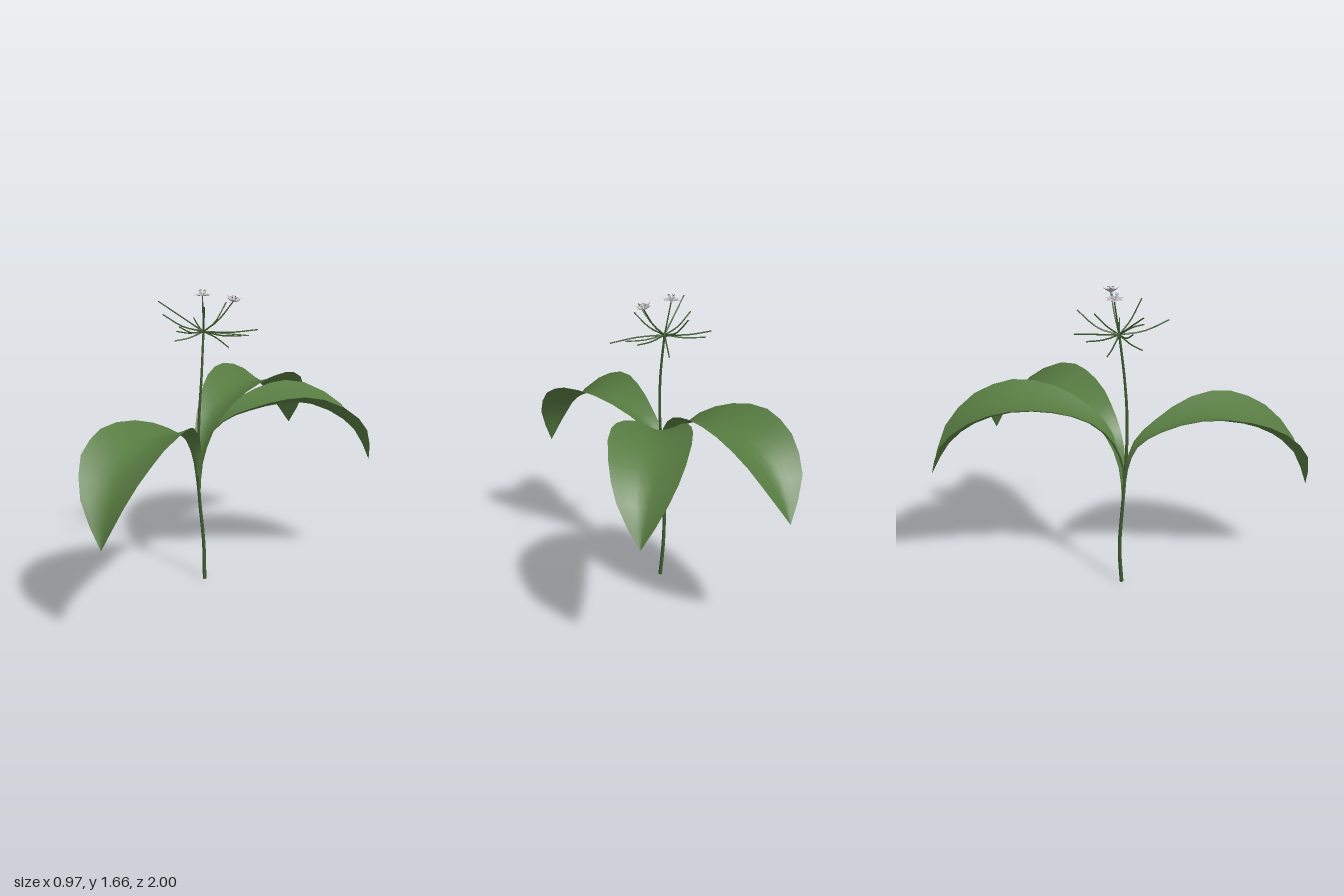
import * as THREE from 'three';

const material = (name, color, side = THREE.FrontSide) =>
  Object.assign(new THREE.MeshStandardMaterial({ color, side }), { name });

const V = (p) => new THREE.Vector3(...p);
const spline = (pts) => new THREE.CatmullRomCurve3(pts.map(V));

// Tapering round stalk along a curve
function stalk(name, pts, r0, r1, mat, segs, sides) {
  const curve = spline(pts);
  const geo = new THREE.TubeGeometry(curve, segs, 1, sides);
  const pos = geo.attributes.position;
  const v = new THREE.Vector3();
  for (let i = 0; i <= segs; i++) {
    const c = curve.getPointAt(i / segs);
    const r = THREE.MathUtils.lerp(r0, r1, i / segs);
    for (let j = 0; j <= sides; j++) {
      const k = i * (sides + 1) + j;
      v.fromBufferAttribute(pos, k).sub(c).multiplyScalar(r).add(c);
      pos.setXYZ(k, v.x, v.y, v.z);
    }
  }
  const mesh = new THREE.Mesh(geo, mat);
  mesh.name = name;
  return mesh;
}

// Cupped blade: rows are [x, y, z, halfWidth] along the midrib
function blade(name, rows, cup, mat, segs = 16, across = 8) {
  const mid = spline(rows.map((r) => r.slice(0, 3)));
  const width = spline(rows.map((r) => [r[3], 0, 0]));
  const d = V(rows[rows.length - 1]).sub(V(rows[0]));
  const side = new THREE.Vector3(-d.z, 0, d.x).normalize();
  const verts = [];
  const index = [];
  for (let i = 0; i <= segs; i++) {
    const t = i / segs;
    const c = mid.getPoint(t);
    const w = Math.max(0.0005, width.getPoint(t).x);
    const up = new THREE.Vector3().crossVectors(side, mid.getTangent(t)).normalize();
    for (let j = 0; j <= across; j++) {
      const u = (j / across) * 2 - 1;
      const p = c.clone().addScaledVector(side, u * w)
        .addScaledVector(up, cup * w * Math.abs(u) ** 1.5);
      verts.push(p.x, p.y, p.z);
      if (i < segs && j < across) {
        const a = i * (across + 1) + j;
        const b = a + across + 1;
        index.push(a, a + 1, b, a + 1, b + 1, b);
      }
    }
  }
  const geo = new THREE.BufferGeometry();
  geo.setAttribute('position', new THREE.Float32BufferAttribute(verts, 3));
  geo.setIndex(index);
  geo.computeVertexNormals();
  const mesh = new THREE.Mesh(geo, mat);
  mesh.name = name;
  return mesh;
}

// Six-petalled flower with stamens; lift raises the petal tips
function flower(name, lift, petalMat, stamenMat) {
  const g = new THREE.Group();
  g.name = name;
  for (let i = 0; i < 6; i++) {
    const arm = new THREE.Group();
    arm.name = 'petalAndStamen';
    arm.rotation.y = (i * Math.PI) / 3;
    arm.add(blade('petal', [
      [0.003, 0, 0, 0.003], [0.02, lift * 0.25, 0, 0.009],
      [0.036, lift * 0.6, 0, 0.009], [0.052, lift, 0, 0],
    ], 0.3, petalMat, 6, 2));
    arm.add(stalk('stamen', [[0.002, 0, 0], [0.012, 0.014, 0.006], [0.016, 0.03, 0.008]],
      0.0015, 0.0015, petalMat, 3, 4));
    const anther = new THREE.Mesh(new THREE.SphereGeometry(0.003, 6, 4), stamenMat);
    anther.name = 'anther';
    anther.position.set(0.016, 0.031, 0.008);
    arm.add(anther);
    g.add(arm);
  }
  return g;
}

export function createModel() {
  const leafMat = material('leafGreen', 0x567a40, THREE.DoubleSide);
  const stemMat = material('stemGreen', 0x3f5c30);
  const petalMat = material('petalGrey', 0xb8b4b8, THREE.DoubleSide);
  const antherMat = material('antherGrey', 0x6a666c);

  const model = new THREE.Group();
  model.name = 'floweringPlant';

  // Main stem
  model.add(stalk('stem', [
    [-0.22, 0, -0.004], [-0.232, 0.22, -0.015], [-0.247, 0.5, 0.002], [-0.24, 0.72, 0.018],
    [-0.225, 0.98, 0.025], [-0.216, 1.2, 0.012], [-0.22, 1.44, -0.015],
  ], 0.0105, 0.006, stemMat, 24, 8));

  // Three arching leaves sheathing the stem
  model.add(blade('frontLeaf', [
    [-0.246, 0.5, 0.008, 0.008], [-0.242, 0.7, 0.03, 0.024], [-0.235, 0.83, 0.08, 0.045],
    [-0.218, 0.91, 0.2, 0.085], [-0.19, 0.965, 0.4, 0.165], [-0.178, 0.95, 0.6, 0.22],
    [-0.165, 0.88, 0.77, 0.205], [-0.135, 0.74, 0.92, 0.125], [-0.11, 0.54, 1, 0],
  ], 0.36, leafMat));
  model.add(blade('backLeaf', [
    [-0.246, 0.52, 0, 0.008], [-0.245, 0.7, 0, 0.03], [-0.243, 0.86, -0.06, 0.06],
    [-0.245, 0.98, -0.18, 0.11], [-0.25, 1.045, -0.36, 0.18], [-0.255, 1.055, -0.56, 0.22],
    [-0.26, 1, -0.74, 0.2], [-0.265, 0.88, -0.89, 0.135], [-0.27, 0.7, -0.995, 0],
  ], 0.36, leafMat));
  model.add(blade('sideLeaf', [
    [-0.245, 0.52, 0, 0.008], [-0.238, 0.7, -0.005, 0.025], [-0.205, 0.85, -0.045, 0.05],
    [-0.14, 0.94, -0.11, 0.085], [-0.04, 0.99, -0.2, 0.14], [0.07, 1.02, -0.32, 0.19],
    [0.17, 1.015, -0.43, 0.21], [0.3, 0.93, -0.575, 0.18], [0.385, 0.82, -0.66, 0.115],
    [0.44, 0.65, -0.72, 0],
  ], 0.36, leafMat));

  // Umbel: thin curved rays from the top of the stem
  const hub = [-0.22, 1.44, -0.015];
  const rays = [
    [-0.435, 1.6, 0.1, 0], [-0.445, 1.52, 0.05, -0.02], [-0.45, 1.405, -0.08, -0.01],
    [-0.405, 1.47, -0.18, -0.01], [-0.215, 1.57, -0.225, -0.03], [-0.08, 1.395, -0.245, 0],
    [0.04, 1.405, 0.12, 0.01], [0.05, 1.46, -0.14, -0.01], [0.03, 1.445, -0.01, -0.01],
    [-0.13, 1.6, 0.1, -0.02], [-0.33, 1.395, 0.1, -0.01], [-0.2, 1.51, 0.235, -0.02],
    [-0.242, 1.625, -0.04, 0], [-0.055, 1.61, -0.055, -0.02],
  ];
  for (const [x, y, z, sag] of rays) {
    const middle = [(x + hub[0]) / 2, (y + hub[1]) / 2 + sag, (z + hub[2]) / 2];
    model.add(stalk('flowerRay', [hub, middle, [x, y, z]], 0.0045, 0.0035, stemMat, 6, 5));
  }
  const knob = new THREE.Mesh(new THREE.SphereGeometry(0.011, 8, 6), stemMat);
  knob.name = 'umbelHub';
  knob.position.set(...hub);
  model.add(knob);

  // Open flower and half-closed flower
  const open = flower('openFlower', 0.006, petalMat, antherMat);
  open.position.set(-0.242, 1.627, -0.04);
  const half = flower('halfOpenFlower', 0.028, petalMat, antherMat);
  half.position.set(-0.055, 1.61, -0.055);
  half.rotation.z = -0.25;
  half.scale.setScalar(0.9);
  model.add(open, half);

  return model;
}
